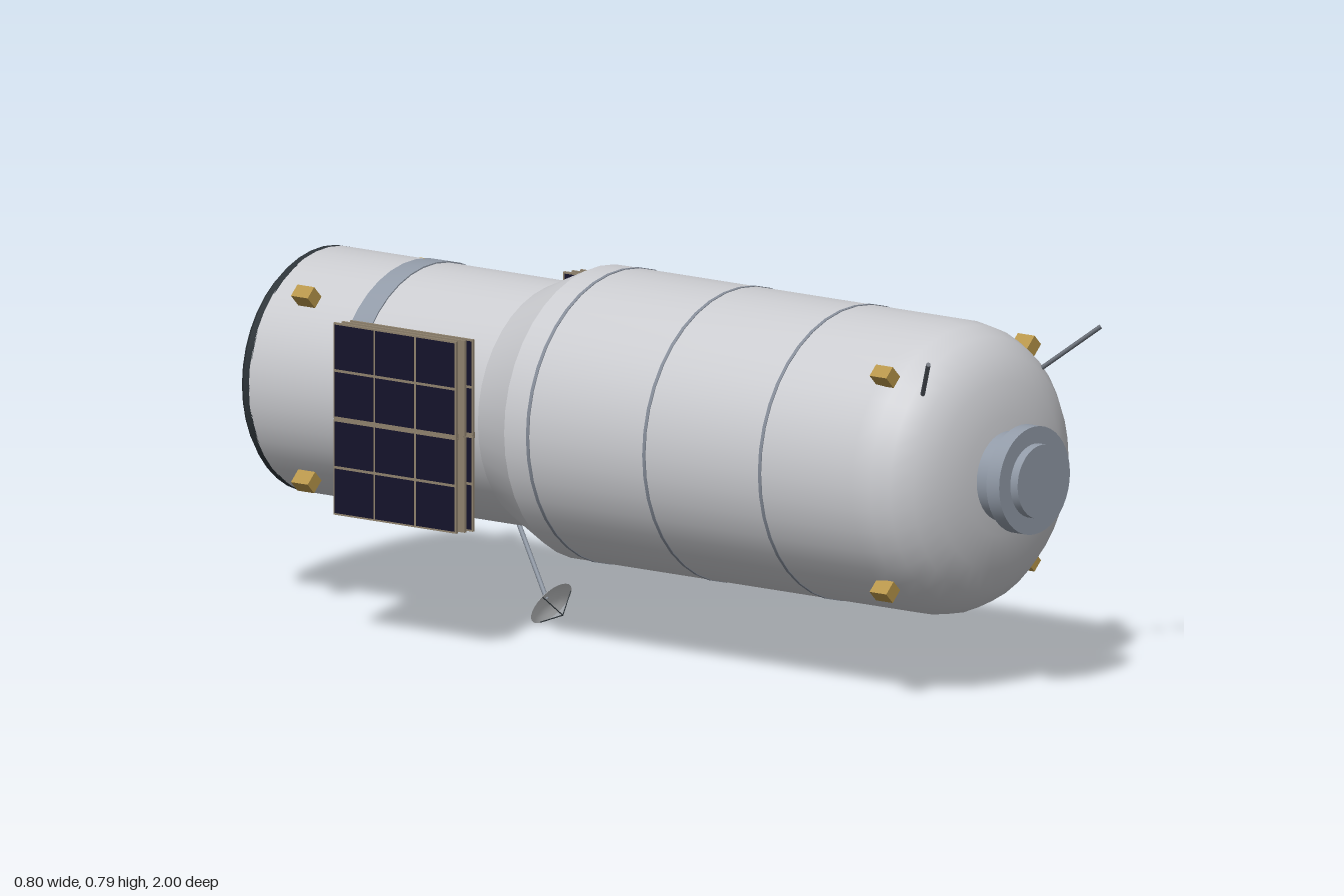
import * as THREE from 'three';
import { toCreasedNormals } from 'three/addons/utils/BufferGeometryUtils.js';

const mat = (name, color, side = THREE.FrontSide) => {
  const m = new THREE.MeshStandardMaterial({ color, side });
  m.name = name;
  return m;
};

export function createModel() {
  const hullGrey = mat('hull grey', 0xcbccd0);
  const steel = mat('blue steel', 0x929ba8);
  const seam = mat('seam grey', 0x858c98);
  const dark = mat('charcoal', 0x2c3338);
  const gold = mat('gold', 0xb8964a);
  const tan = mat('panel tan', 0x8f826e);
  const navy = mat('solar cell navy', 0x15132b);
  const rodGrey = mat('rod grey', 0x5f656e);
  const dishGrey = mat('dish grey', 0xd0d2d4, THREE.DoubleSide);

  const model = new THREE.Group();
  model.name = 'spaceStationModule';
  // everything is placed relative to the hull's long axis, which runs along z
  const station = new THREE.Group();
  station.name = 'station';
  station.position.set(0.017, 0.473, 0);
  model.add(station);

  const add = (name, geometry, material, parent = station) => {
    const mesh = new THREE.Mesh(geometry, material);
    mesh.name = name;
    parent.add(mesh);
    return mesh;
  };
  // surface of revolution about z; points are [radius, z], with z rising on outer walls
  const turned = (name, points, material, crease = 0.5) => {
    const g = new THREE.LatheGeometry(points.map(([r, z]) => new THREE.Vector2(r, z)), 40);
    g.rotateX(Math.PI / 2);
    return add(name, toCreasedNormals(g, crease), material);
  };
  const rod = (name, a, b, radius, material, parent = station) => {
    const from = new THREE.Vector3(...a), to = new THREE.Vector3(...b);
    const dir = to.clone().sub(from);
    const mesh = add(name, new THREE.CylinderGeometry(radius, radius, dir.length(), 8), material, parent);
    mesh.position.copy(from).add(to).multiplyScalar(0.5);
    mesh.quaternion.setFromUnitVectors(new THREE.Vector3(0, 1, 0), dir.normalize());
    return mesh;
  };
  const box = (name, size, pos, material, parent = station) => {
    const mesh = add(name, new THREE.BoxGeometry(...size), material, parent);
    mesh.position.set(...pos);
    return mesh;
  };

  // pressure hull
  turned('mainHull', [[0.313, -0.215], [0.313, 0.74], [0.306, 0.785], [0.287, 0.825], [0.253, 0.86],
    [0.2, 0.885], [0.127, 0.901], [0, 0.905]], hullGrey, 0.7);
  turned('hullTaper', [[0.262, -0.33], [0.313, -0.215]], hullGrey);
  turned('rearHull', [[0.262, -0.96], [0.262, -0.33]], hullGrey);
  turned('rearBand', [[0.262, -0.722], [0.265, -0.722], [0.265, -0.666], [0.262, -0.666]], steel);
  for (const z of [-0.15, 0.17, 0.488])
    turned('hullSeam', [[0.312, z - 0.004], [0.3145, z - 0.004], [0.3145, z + 0.004], [0.312, z + 0.004]], seam);

  // docking port on the nose
  turned('dockingPort', [[0.096, 0.89], [0.096, 0.945], [0.1155, 0.945], [0.1155, 0.98],
    [0.079, 0.98], [0.079, 1], [0, 1]], steel);

  // engine bay
  turned('aftRing', [[0.1, -0.955], [0.1, -0.989], [0.25, -0.989], [0.262, -0.975], [0.262, -0.957]], dark, 0.4);
  turned('engineBayFloor', [[0, -0.96], [0.102, -0.96]], hullGrey);
  for (const sx of [-1, 1]) for (const sy of [-1, 1]) {
    const engine = add('engine', new THREE.CylinderGeometry(0.025, 0.034, 0.045, 16), steel);
    engine.rotation.x = -Math.PI / 2;
    engine.position.set(sx * 0.06, sy * 0.063, -0.9775);
  }

  // thruster blocks on the four diagonals, fore and aft
  for (const [z, r] of [[0.762, 0.325], [-0.856, 0.28]])
    for (let k = 0; k < 4; k++) {
      const a = Math.PI / 4 + k * Math.PI / 2;
      const block = box('thrusterBlock', [0.034, 0.03, 0.046], [r * Math.cos(a), r * Math.sin(a), z], gold);
      block.rotation.z = a;
    }

  for (const s of [-1, 1]) {
    // nose antennas
    rod('antenna', [s * 0.193, 0.194, 0.835], [s * 0.281, 0.282, 0.925], 0.005, rodGrey);
    // V struts holding the solar array
    for (const v of [-1, 1])
      rod('arrayStrut', [s * 0.258, 0, -0.58], [s * 0.364, v * 0.138, -0.58], 0.006, steel);
  }

  // folded solar arrays: three leaves each, cell faces alternating
  for (const [name, x0] of [['leftArray', 0.356], ['rightArray', -0.394]]) {
    const array = new THREE.Group();
    array.name = name;
    station.add(array);
    for (let i = -1; i <= 1; i++) {
      const leaf = new THREE.Group();
      leaf.name = 'solarLeaf';
      leaf.position.set(x0 + i * 0.02, 0, -0.422 + i * 0.006);
      array.add(leaf);
      const side = i === 0 ? 1 : -1;
      for (const h of [-1, 1]) {
        box('leafHalf', [0.006, 0.204, 0.338], [0, h * 0.1035, 0], tan, leaf);
        for (let row = 0; row < 2; row++) for (let col = -1; col <= 1; col++)
          box('solarCell', [0.002, 0.095, 0.106], [side * 0.003, h * (0.053 + row * 0.101), col * 0.112], navy, leaf);
      }
      box('leafSpine', [0.004, 0.004, 0.336], [0, 0, 0], tan, leaf);
      for (const e of [-1, 1])
        box('leafHinge', [0.006, 0.013, 0.02], [-side * 0.004 * Math.abs(i), 0, e * 0.157], tan, leaf);
    }
  }

  // dish antenna under the hull, facing forward and down
  rod('dishMast', [0, -0.255, -0.444], [0, -0.418, -0.362], 0.005, steel);
  const dish = new THREE.Group();
  dish.name = 'dishAntenna';
  dish.position.set(0, -0.426, -0.349);
  dish.quaternion.setFromUnitVectors(new THREE.Vector3(0, 1, 0), new THREE.Vector3(0, -0.563, 0.826));
  station.add(dish);
  const bowl = [0, 0.2, 0.4, 0.6, 0.8, 1].map((t) => new THREE.Vector2(0.055 * t, 0.016 * (t * t - 1)));
  add('dishBowl', new THREE.LatheGeometry(bowl, 28), dishGrey, dish);
  for (let k = 0; k < 3; k++) {
    const a = Math.PI / 2 + k * Math.PI * 2 / 3;
    rod('feedLeg', [0.053 * Math.cos(a), 0, 0.053 * Math.sin(a)], [0, 0.038, 0], 0.0012, dark, dish);
  }

  return model;
}
